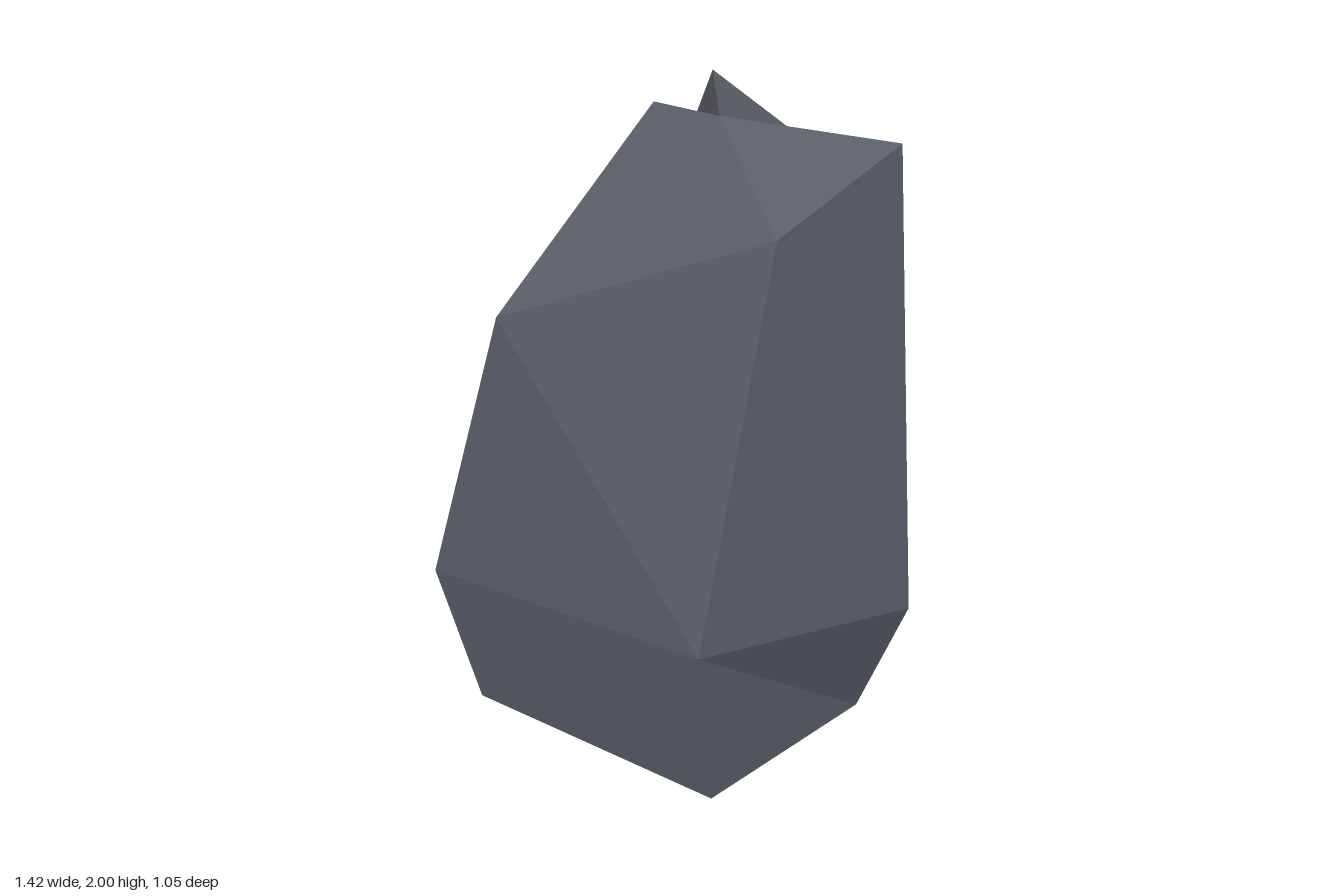
import * as THREE from 'three';

// Five corners per ring, counter-clockwise from above, starting front left.
// Two base corners coincide, so the foot is four-sided.
const base = [[-0.44, 0, 0.47], [0.44, 0, 0.36], [0.54, 0, -0.28], [0.54, 0, -0.28], [-0.66, 0, -0.24]];
const belly = [[-0.55, 0.49, 0.525], [0.46, 0.61, 0.455], [0.71, 0.49, -0.26], [0.205, 0.48, -0.53], [-0.715, 0.33, -0.26]];
const shoulder = [[-0.29, 1.43, 0.435], [0.48, 1.79, 0.18], [0.53, 1.92, -0.31], [0.34, 1.72, -0.43], [-0.35, 1.5, -0.36]];
const peak = [[0.16, 2, 0.01], [-0.05, 2, 0.03], [-0.1, 2, -0.29]];

// Triangles between two rings; rising[i] picks the diagonal of each side.
function band(low, up, rising) {
  const tris = [];
  for (let i = 0; i < 5; i++) {
    const j = (i + 1) % 5;
    const [a, b, c, d] = [low[i], low[j], up[j], up[i]];
    const pair = rising[i] ? [[a, b, c], [a, c, d]] : [[a, b, d], [b, c, d]];
    tris.push(...pair.filter(([p, q, r]) => p !== q && p.join() !== q.join() && q !== r));
  }
  return tris;
}

function facets(name, tris, material) {
  const geometry = new THREE.BufferGeometry();
  geometry.setAttribute('position', new THREE.Float32BufferAttribute(tris.flat(2), 3));
  geometry.computeVertexNormals();
  const mesh = new THREE.Mesh(geometry, material);
  mesh.name = name;
  return mesh;
}

export function createModel() {
  const group = new THREE.Group();
  group.name = 'rock';
  const stone = new THREE.MeshStandardMaterial({ color: 0x5a5e66, flatShading: true });
  stone.name = 'slate grey stone';

  // Foot and flanks
  group.add(facets('rockFoot', band(base, belly, [1, 0, 1, 0, 1]), stone));
  group.add(facets('rockFlanks', band(belly, shoulder, [0, 0, 1, 1, 1]), stone));

  // Crown with the cleft running down to the back left corner
  const [A, B, C, D, E] = shoulder;
  const [P, Q, R] = peak;
  group.add(facets('rockCrown', [
    [A, B, P], [A, P, Q], [B, C, P], [C, D, P], [D, R, P],
    [D, E, R], [E, P, R], [E, Q, P], [A, Q, E],
  ], stone));

  // Underside
  group.add(facets('rockUnderside', [[base[0], base[4], base[2]], [base[0], base[2], base[1]]], stone));
  return group;
}
